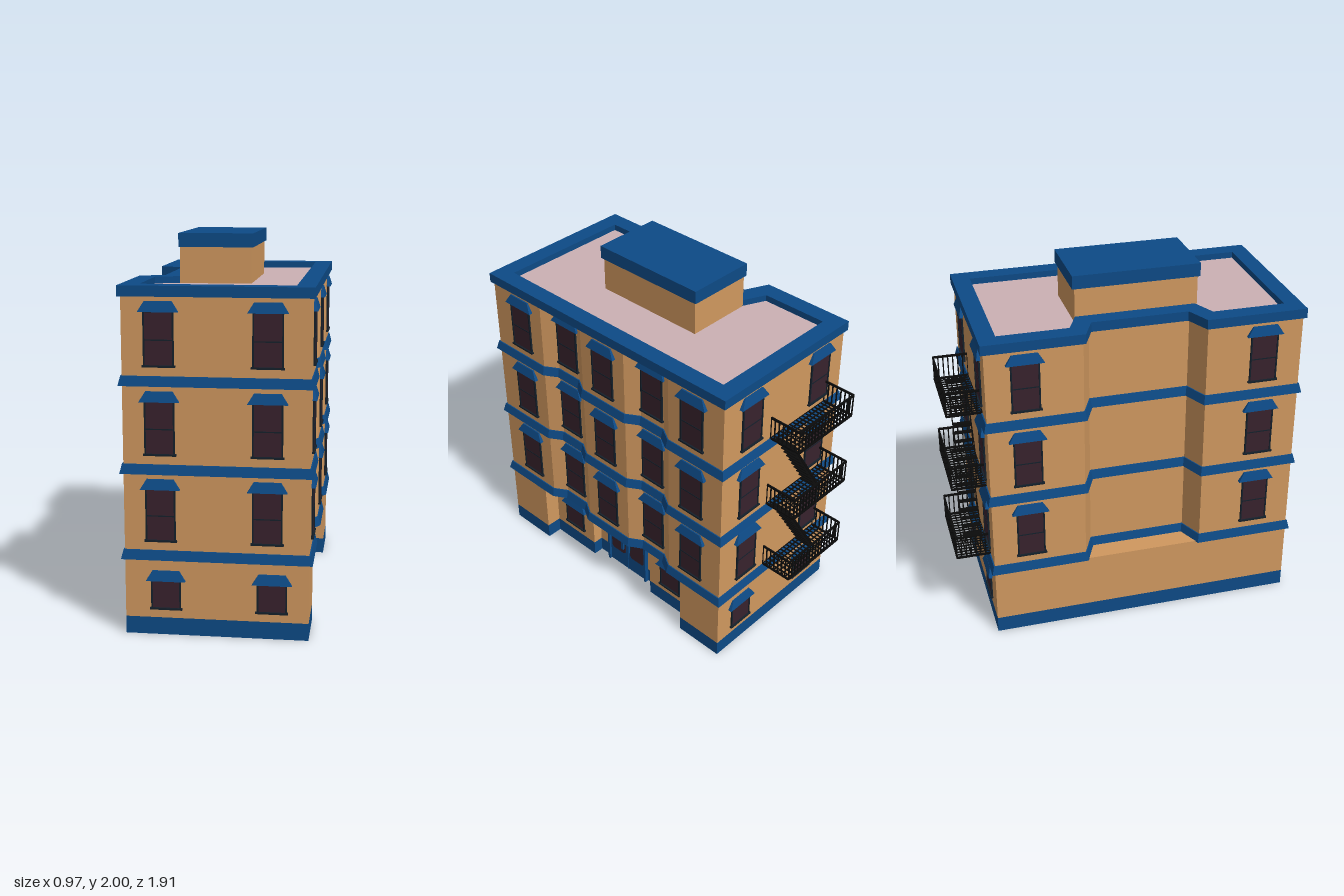
import * as THREE from 'three';
import { mergeGeometries } from 'three/addons/utils/BufferGeometryUtils.js';

const material = (name, color) => Object.assign(new THREE.MeshStandardMaterial({ color }), { name });
const M = {
  wall: material('tan wall', 0xd0985f),
  trim: material('blue trim', 0x0d4a86),
  roof: material('pink roof', 0xcbb0b4),
  glass: material('maroon glass', 0x38222d),
  frame: material('dark frame', 0x14202b),
  iron: material('black iron', 0x0b0b0b),
};

// Plans as [x, z], running from the front corner along +x to the back and round
const recessSide = [[-0.465, -0.76], [-0.465, -0.25], [-0.335, -0.19], [-0.335, 0.35], [-0.465, 0.41], [-0.465, 0.935]];
const upperPlan = [
  [0.465, 0.935], [0.465, 0.56], [0.42, 0.485], [0.42, 0.32], [0.465, 0.245],
  [0.465, -0.075], [0.42, -0.15], [0.42, -0.315], [0.465, -0.39], [0.465, -0.76], ...recessSide];
const roofPlan = [[0.465, 0.935], [0.465, -0.76], ...recessSide];
const groundPlan = [
  [0.465, 0.935], [0.465, 0.645], [0.375, 0.645], [0.375, 0.325], [0.315, 0.325],
  [0.315, -0.15], [0.375, -0.15], [0.375, -0.475], [0.465, -0.475], [0.465, -0.76],
  [-0.465, -0.76], [-0.465, 0.935]];

function addMesh(parent, name, geometry, mat, x = 0, y = 0, z = 0) {
  const mesh = new THREE.Mesh(geometry, mat);
  mesh.name = name;
  mesh.position.set(x, y, z);
  parent.add(mesh);
  return mesh;
}

const box = (w, h, d, x = 0, y = 0, z = 0) => new THREE.BoxGeometry(w, h, d).translate(x, y, z);

// Upright prism over a plan
function prism(plan, y0, y1) {
  const shape = new THREE.Shape(plan.map(([x, z]) => new THREE.Vector2(x, -z)));
  return new THREE.ExtrudeGeometry(shape, { depth: y1 - y0, bevelEnabled: false })
    .rotateX(-Math.PI / 2).translate(0, y0, 0);
}

// Mitred outward offset of a plan
function offset(plan, d) {
  const n = plan.length;
  const normal = (a, b) => {
    const l = Math.hypot(b[0] - a[0], b[1] - a[1]);
    return [(a[1] - b[1]) / l, (b[0] - a[0]) / l];
  };
  return plan.map((p, i) => {
    const u = normal(plan[(i + n - 1) % n], p), v = normal(p, plan[(i + 1) % n]);
    const k = d / (1 + u[0] * v[0] + u[1] * v[1]);
    return [p[0] + (u[0] + v[0]) * k, p[1] + (u[1] + v[1]) * k];
  });
}

// Moulding swept round a plan; profile rows are [offset, y]
function moulding(plan, profile) {
  const rows = profile.map(([d, y]) => offset(plan, d).map(([x, z]) => [x, y, z]));
  const pos = [];
  for (let r = 0; r < rows.length - 1; r++) {
    for (let i = 0; i < plan.length; i++) {
      const j = (i + 1) % plan.length, a = rows[r], b = rows[r + 1];
      pos.push(...a[i], ...a[j], ...b[j], ...a[i], ...b[j], ...b[i]);
    }
  }
  const g = new THREE.BufferGeometry();
  g.setAttribute('position', new THREE.Float32BufferAttribute(pos, 3));
  g.computeVertexNormals();
  return g;
}

// Awning: a box narrowed and pulled back to the wall at its top
function awningGeometry() {
  const g = new THREE.BoxGeometry(0.2, 0.052, 0.022).translate(0, 0, 0.011).toNonIndexed();
  const p = g.attributes.position;
  for (let i = 0; i < p.count; i++) {
    if (p.getY(i) > 0) p.setXYZ(i, p.getX(i) * 0.68, p.getY(i), p.getZ(i) * 0.35);
  }
  g.computeVertexNormals();
  return g;
}
const awning = awningGeometry();

// Window facing +z, turned to its wall; y is the sill height
function addWindow(parent, x, y, z, turn, h) {
  const g = new THREE.Group();
  g.name = 'window';
  g.position.set(x, y, z);
  g.rotation.y = turn;
  addMesh(g, 'windowPane', box(0.145, h, 0.006, 0, h / 2, 0.002), M.glass);
  const bars = [-1, 1].map(s => box(0.008, h, 0.012, s * 0.072, h / 2, 0.003));
  bars.push(box(0.165, 0.01, 0.022, 0, 0, 0.003), box(0.15, 0.008, 0.012, 0, h, 0.003));
  if (h > 0.2) bars.push(box(0.145, 0.006, 0.01, 0, h * 0.48, 0.002));
  addMesh(g, 'windowFrame', mergeGeometries(bars), M.frame);
  addMesh(g, 'awning', awning, M.trim, 0, h + 0.024, 0);
  parent.add(g);
}

function addDoor(parent) {
  const g = new THREE.Group();
  g.name = 'entrance';
  g.position.set(0.315, 0, 0.083);
  g.rotation.y = Math.PI / 2;
  addMesh(g, 'doorLeaves', box(0.3, 0.34, 0.012, 0, 0.17, 0.004), M.trim);
  const surround = [box(0.315, 0.014, 0.03, 0, 0.338, 0.01), box(0.006, 0.33, 0.016, 0, 0.165, 0.006)];
  for (const s of [-1, 1]) {
    surround.push(box(0.014, 0.345, 0.03, s * 0.151, 0.1725, 0.01), box(0.016, 0.07, 0.012, s * 0.024, 0.195, 0.03));
    // Rounded glass panel
    const w = 0.057, h = 0.108, r = 0.022, shape = new THREE.Shape();
    shape.absarc(w - r, h - r, r, 0, Math.PI / 2);
    shape.absarc(r - w, h - r, r, Math.PI / 2, Math.PI);
    shape.absarc(r - w, r - h, r, Math.PI, Math.PI * 1.5);
    shape.absarc(w - r, r - h, r, Math.PI * 1.5, Math.PI * 2);
    const panel = new THREE.ExtrudeGeometry(shape, { depth: 0.004, bevelEnabled: false, curveSegments: 4 });
    addMesh(g, 'doorGlass', panel, M.glass, s * 0.076, 0.212, 0.009);
    addMesh(g, 'handleBracket', box(0.012, 0.05, 0.02, s * 0.024, 0.195, 0.016), M.frame);
  }
  addMesh(g, 'doorSurround', mergeGeometries(surround), M.trim);
  parent.add(g);
}

function addFireEscape(parent) {
  const g = new THREE.Group();
  g.name = 'fireEscape';
  const x0 = -0.34, x1 = 0.1, z0 = -0.945, z1 = -0.76, t = 0.006;
  const cx = (x0 + x1) / 2, cz = (z0 + z1) / 2, w = x1 - x0, d = z1 - z0, rail = 0.128;
  for (const y of [0.45, 0.892, 1.334]) {
    const bars = [];
    // Grated floor and railing uprights
    for (let i = 0; i <= 17; i++) {
      const x = x0 + w * i / 17;
      bars.push(box(t, t, d, x, y, cz), box(t, rail, t, x, y + rail / 2, z0));
    }
    for (let i = 0; i <= 7; i++) {
      const z = z0 + d * i / 7;
      bars.push(box(w, t, t, cx, y, z));
      for (const x of [x0, x1]) bars.push(box(t, rail, t, x, y + rail / 2, z));
    }
    // Handrails and floor edge
    for (const h of [0, rail]) {
      bars.push(box(w, 0.011, 0.009, cx, y + h, z0));
      for (const x of [x0, x1]) bars.push(box(0.009, 0.011, d, x, y + h, cz));
    }
    addMesh(g, 'platform', mergeGeometries(bars), M.iron);
  }
  // Stairs between platforms, climbing toward +x
  for (const y of [0.45, 0.892]) {
    const rise = 0.442, run = 0.27, steps = 11, parts = [];
    for (let i = 1; i <= steps; i++) {
      parts.push(box(0.028, 0.006, 0.1, -0.2 + run * i / steps, y + rise * i / steps - 0.01, -0.833));
    }
    for (const z of [-0.883, -0.783]) {
      parts.push(box(Math.hypot(rise, run), 0.012, 0.005).rotateZ(Math.atan2(rise, run))
        .translate(-0.2 + run / 2, y + rise / 2, z));
    }
    addMesh(g, 'stairs', mergeGeometries(parts), M.iron);
  }
  parent.add(g);
}

export function createModel() {
  const model = new THREE.Group();
  model.name = 'apartmentBuilding';

  // Walls
  addMesh(model, 'plinth', prism(groundPlan, 0, 0.09), M.trim);
  addMesh(model, 'groundFloor', prism(groundPlan, 0.09, 0.4), M.wall);
  addMesh(model, 'upperFloors', prism(upperPlan, 0.398, 1.725), M.wall);

  // Flared belts, cornice and roof deck
  for (const y of [0.397, 0.84, 1.283]) {
    addMesh(model, 'belt', moulding(upperPlan, [[-0.01, y], [0.018, y], [0.006, y + 0.05], [-0.01, y + 0.05]]), M.trim);
  }
  addMesh(model, 'cornice', moulding(roofPlan,
    [[-0.08, 1.722], [0.015, 1.722], [0.015, 1.775], [-0.08, 1.775], [-0.08, 1.735]]), M.trim);
  addMesh(model, 'roofDeck', prism(offset(roofPlan, -0.078), 1.726, 1.74), M.roof);

  // Rooftop hut
  addMesh(model, 'roofHut', box(0.375, 0.2, 0.66, -0.0725, 1.83, 0.085), M.wall);
  addMesh(model, 'roofHutCap', box(0.392, 0.072, 0.685, -0.07, 1.964, 0.085), M.trim);

  // Windows
  for (let floor = 0; floor < 3; floor++) {
    const y = 0.497 + floor * 0.4425, h = 0.268;
    for (const x of [-0.28, 0.255]) {
      addWindow(model, x, y, 0.935, 0, h);
      addWindow(model, x, y, -0.76, Math.PI, h);
    }
    [0.725, 0.403, 0.083, -0.233, -0.553].forEach((z, i) =>
      addWindow(model, i % 2 ? 0.42 : 0.465, y, z, Math.PI / 2, h));
    for (const z of [0.725, -0.553]) addWindow(model, -0.465, y, z, -Math.PI / 2, h);
  }
  for (const x of [-0.257, 0.28]) {
    addWindow(model, x, 0.14, 0.935, 0, 0.15);
    addWindow(model, x, 0.14, -0.76, Math.PI, 0.15);
  }
  for (const z of [0.483, -0.315]) addWindow(model, 0.375, 0.14, z, Math.PI / 2, 0.15);

  addDoor(model);
  addFireEscape(model);
  return model;
}
